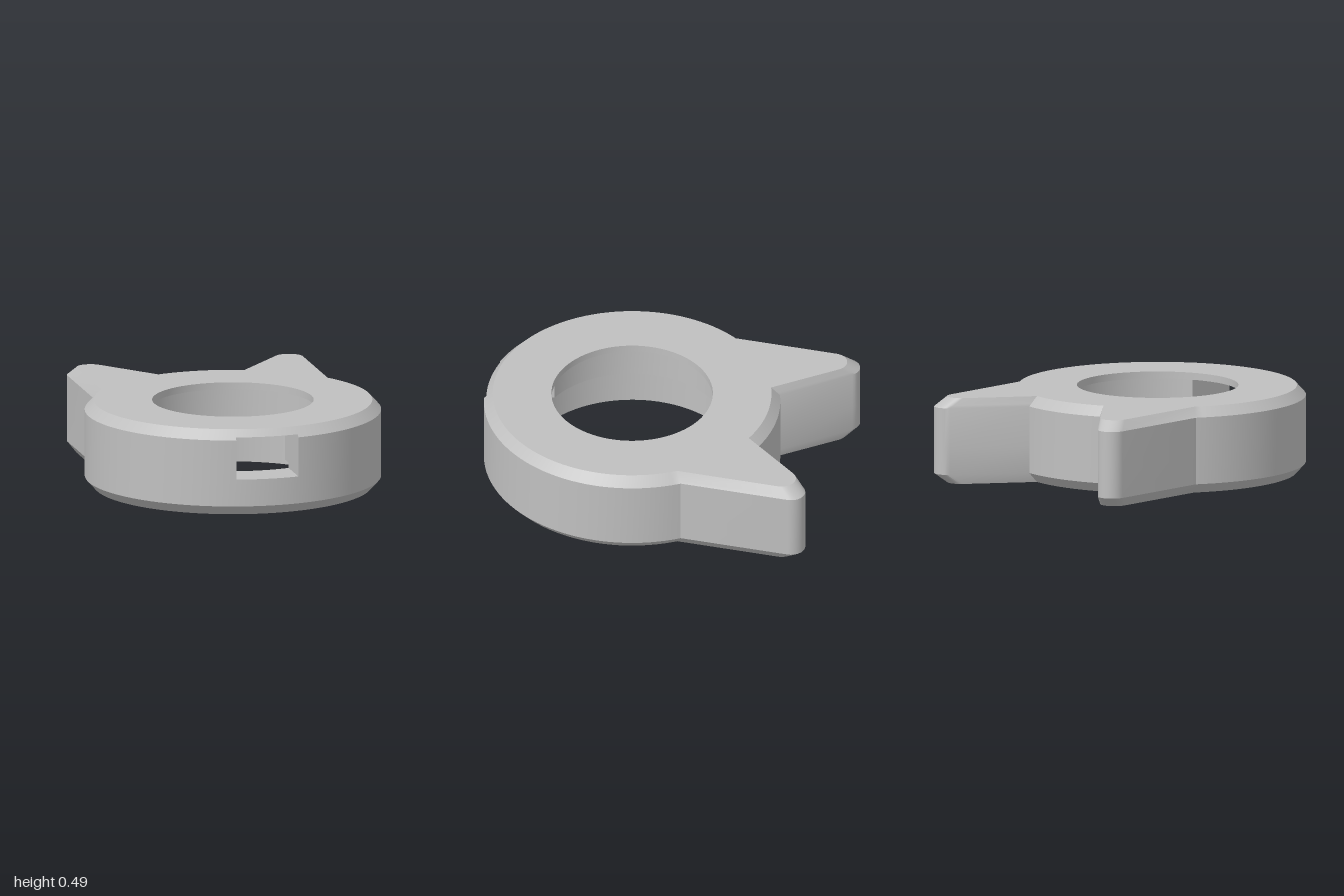
import * as THREE from 'three';
import { toCreasedNormals } from 'three/addons/utils/BufferGeometryUtils.js';

const ZC = 0.165, R = 0.835, H = 0.49, CHAMFER = 0.055;
const SLOT_X = 0.18, SLOT_LOW = 0.21, SLOT_HIGH = 0.45, SLOT_COLS = 8;

const onCircle = (r, t) => [r * Math.sin(t), ZC + r * Math.cos(t)];

// points on a circle from angle a to b (0 = front, increasing towards +x)
function arc(r, a, b, n) {
  return Array.from({ length: n + 1 }, (_, i) => onCircle(r, a + (b - a) * i / n));
}

// arc between the two slot sides, always ending at x = +-SLOT_X
function slotArc(r) {
  const s = Math.asin(SLOT_X / r);
  return arc(r, -s, s, SLOT_COLS);
}

// full circle whose first columns span the slot
function ring(r) {
  const s = Math.asin(SLOT_X / r);
  return [...slotArc(r), ...arc(r, s, 2 * Math.PI - s, 72).slice(1, -1)];
}

// round body with two pointed ears; k = 0 full size, k = 1 chamfered edge
function outline(k) {
  const r = R - 0.05 * k;
  const sideX = 0.695 - 0.04 * k, cornerX = 0.265 - 0.015 * k;
  const tipX = sideX - 0.08, tipZ = -0.92 + 0.065 * k;
  const half = arc(r, Math.asin(SLOT_X / r), Math.PI - Math.asin(sideX / r), 36).slice(1);
  for (let i = 0; i <= 12; i++) {
    const a = (139 * Math.PI / 180) * i / 12;
    half.push([tipX + 0.08 * Math.cos(a), tipZ - 0.08 * Math.sin(a)]);
  }
  half.push(...arc(r, Math.PI - Math.asin(cornerX / r), Math.PI, 8));
  const mirrored = half.slice(0, -1).reverse().map(([x, z]) => [-x, z]);
  return [...slotArc(r), ...half, ...mirrored];
}

// wall through a list of { y, loop } levels, left open at the slot
function wall(levels) {
  const pos = [], index = [], n = levels[0].loop.length;
  for (const { y, loop } of levels) for (const [x, z] of loop) pos.push(x, y, z);
  for (let l = 0; l < levels.length - 1; l++) {
    const mid = (levels[l].y + levels[l + 1].y) / 2;
    const open = mid > SLOT_LOW && mid < SLOT_HIGH;
    for (let i = open ? SLOT_COLS : 0; i < n; i++) {
      const j = (i + 1) % n;
      const a = l * n + i, b = l * n + j, c = b + n, d = a + n;
      index.push(a, b, c, a, c, d);
    }
  }
  const g = new THREE.BufferGeometry();
  g.setAttribute('position', new THREE.Float32BufferAttribute(pos, 3));
  g.setIndex(index);
  return toCreasedNormals(g, 0.5);
}

// flat horizontal face, facing up or down
function plate(points, y, up, hole) {
  const to2 = ([x, z]) => new THREE.Vector2(x, up ? -z : z);
  const shape = new THREE.Shape(points.map(to2));
  if (hole) shape.holes.push(new THREE.Path(hole.map(to2)));
  return new THREE.ShapeGeometry(shape).rotateX(up ? -Math.PI / 2 : Math.PI / 2).translate(0, y, 0);
}

export function createModel() {
  const group = new THREE.Group();
  const grey = new THREE.MeshStandardMaterial({ color: 0xc0c0c0 });
  grey.name = 'grey';
  const add = (name, geometry) => {
    const mesh = new THREE.Mesh(geometry, grey);
    mesh.name = name;
    group.add(mesh);
  };

  const holeTop = 0.455, chamber = 0.53, recess = 0.61, ledgeY = 0.24;
  const kSlot = (SLOT_HIGH - (H - CHAMFER)) / CHAMFER;
  const rSlot = R - 0.05 * kSlot;

  // outer wall with chamfers at both ends
  add('outerWall', wall([
    [0, 1], [CHAMFER, 0], [SLOT_LOW, 0], [H - CHAMFER, 0], [SLOT_HIGH, kSlot], [H, 1],
  ].map(([y, k]) => ({ y, loop: outline(k) }))));

  // stepped bore: top lip, chamber, wider recess below
  add('bore', wall([
    [H, holeTop], [SLOT_HIGH, holeTop], [SLOT_HIGH, chamber], [ledgeY, chamber],
    [ledgeY, recess], [SLOT_LOW, recess], [0, recess],
  ].map(([y, r]) => ({ y, loop: ring(r) }))));

  // flat faces
  add('topFace', plate(outline(1), H, true, ring(holeTop)));
  add('bottomFace', plate(outline(1), 0, false, ring(recess)));

  // slot through the front
  const band = (rOut, rIn) => [...slotArc(rOut), ...slotArc(rIn).reverse()];
  add('slotFloor', plate(band(R, recess), SLOT_LOW, true));
  add('slotCeiling', plate(band(rSlot, chamber), SLOT_HIGH, false));
  const section = [
    [R, SLOT_LOW], [R, H - CHAMFER], [rSlot, SLOT_HIGH], [chamber, SLOT_HIGH],
    [chamber, ledgeY], [recess, ledgeY], [recess, SLOT_LOW],
  ];
  for (const side of [1, -1]) {
    const shape = new THREE.Shape(section.map(([r, y]) =>
      new THREE.Vector2(side * (ZC + Math.sqrt(r * r - SLOT_X * SLOT_X)), y)));
    add(side > 0 ? 'slotLeftSide' : 'slotRightSide',
      new THREE.ShapeGeometry(shape).rotateY(-side * Math.PI / 2).translate(side * SLOT_X, 0, 0));
  }
  return group;
}
